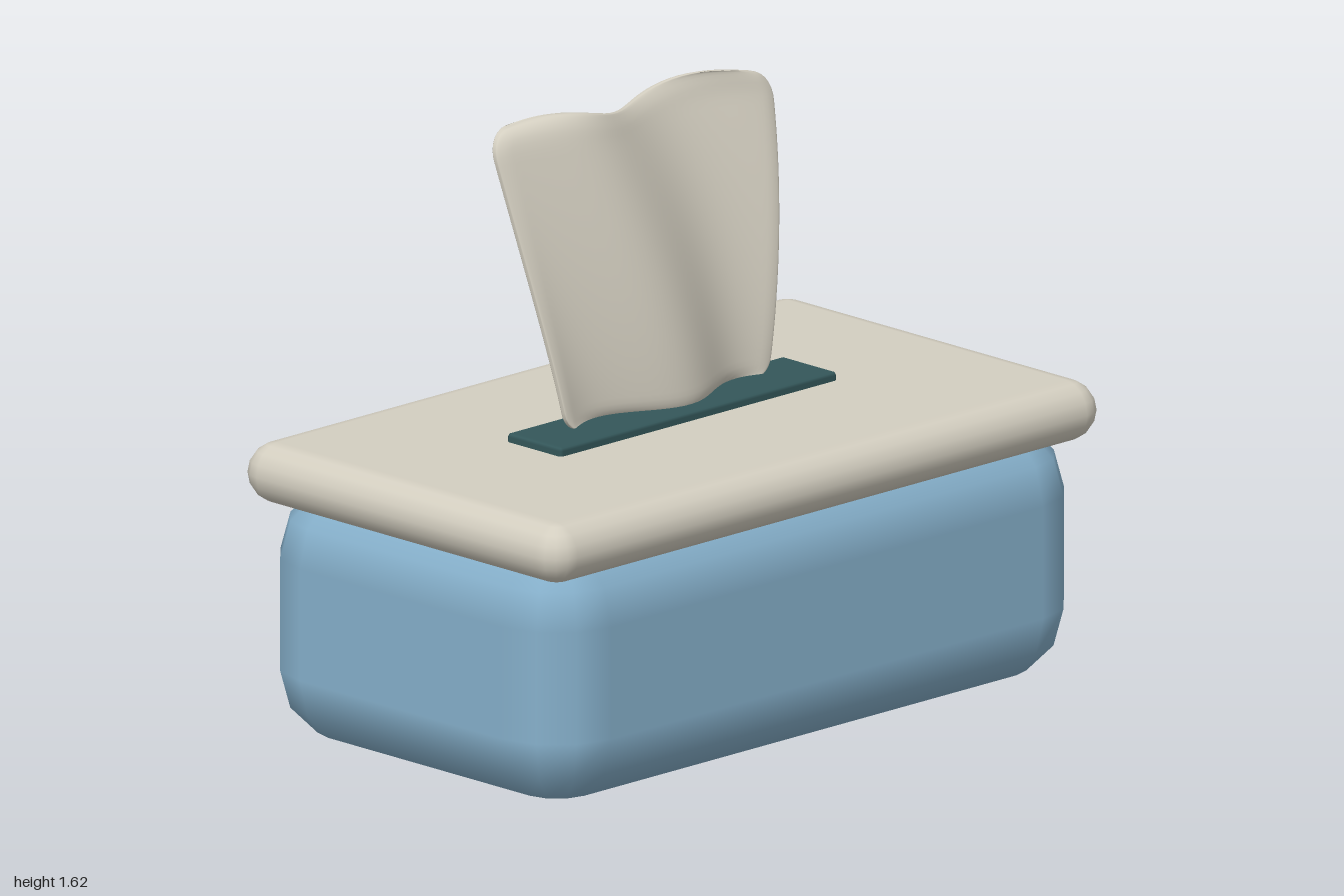
import * as THREE from 'three';
import { mergeVertices } from 'three/addons/utils/BufferGeometryUtils.js';

// Box with edges rounded in n equal angle steps; grid rows run from top centre to bottom centre.
function roundedBox(w, h, d, r, n) {
  const cols = 4 * (n + 1), rows = 2 * n + 3;
  const geo = new THREE.PlaneGeometry(1, 1, cols, rows);
  const pos = geo.attributes.position, nor = geo.attributes.normal;
  for (let iy = 0; iy <= rows; iy++) {
    const cap = iy === 0 || iy === rows;
    const upper = iy <= n + 1;
    const step = Math.min(Math.max(upper ? iy - 1 : iy - 2, 0), 2 * n);
    const phi = (step / n) * Math.PI / 2;
    for (let ix = 0; ix <= cols; ix++) {
      const i = iy * (cols + 1) + ix;
      const q = Math.floor(ix / (n + 1)) % 4;
      const theta = (q + (ix % (n + 1)) / n) * Math.PI / 2;
      const nx = Math.sin(phi) * Math.sin(theta);
      const ny = Math.cos(phi);
      const nz = Math.sin(phi) * Math.cos(theta);
      const sx = q < 2 ? 1 : -1, sz = q === 0 || q === 3 ? 1 : -1, sy = upper ? 1 : -1;
      pos.setXYZ(i,
        cap ? 0 : sx * (w / 2 - r) + nx * r,
        sy * (h / 2 - r) + ny * r,
        cap ? 0 : sz * (d / 2 - r) + nz * r);
      nor.setXYZ(i, nx, ny, nz);
    }
  }
  return geo;
}

// How far a rounded corner of radius r pulls in at distance d from the end.
const cornerInset = (d, r) => (d < r ? r - Math.sqrt(r * r - (r - d) ** 2) : 0);

// Thin rippled sheet that leans backwards and widens towards the top.
function tissueGeometry() {
  let geo = new THREE.BoxGeometry(2, 2, 2, 44, 36, 1);
  geo.deleteAttribute('normal');
  geo.deleteAttribute('uv');
  geo = mergeVertices(geo);
  const pos = geo.attributes.position;
  for (let i = 0; i < pos.count; i++) {
    const u = Math.sin(pos.getX(i) * Math.PI / 2);
    const v = Math.sin(pos.getY(i) * Math.PI / 2);
    const t = (v + 1) / 2;
    const y = 0.815 + t * 0.785 - 0.022 * Math.cos(4.5 * u) * t * t;
    const half = 0.37 + 0.1 * t - cornerInset(t * 0.785, 0.045) - cornerInset((1 - t) * 0.785, 0.08);
    // Ripples drift sideways with height
    const ripple = 0.043 * Math.cos((u - 0.05 + 0.46 * t) * Math.PI * 2 / 1.43);
    const lean = -0.005 - 0.16 * Math.pow(t, 1.6);
    const edge = Math.min((1 - Math.abs(u)) * 0.42, (1 - Math.abs(v)) * 0.39);
    const thick = 0.016 * (0.3 + 0.7 * Math.sqrt(Math.min(1, Math.max(0, edge) / 0.03)));
    pos.setXYZ(i, u * half, y, lean + ripple + pos.getZ(i) * thick);
  }
  geo.computeVertexNormals();
  return geo;
}

export function createModel() {
  const material = (name, color) => {
    const m = new THREE.MeshStandardMaterial({ color });
    m.name = name;
    return m;
  };
  const blue = material('softBlue', 0x86b0cb);
  const cream = material('cream', 0xd3cec0);
  const teal = material('darkTeal', 0x34575a);

  const group = new THREE.Group();
  group.name = 'tissueBox';
  const add = (name, geo, mat, y = 0) => {
    const mesh = new THREE.Mesh(geo, mat);
    mesh.name = name;
    mesh.position.y = y;
    group.add(mesh);
  };

  add('boxBody', roundedBox(1.96, 0.7, 1.14, 0.2, 3), blue, 0.35);
  add('lid', roundedBox(2, 0.16, 1.18, 0.08, 4), cream, 0.72);
  add('slotPlate', roundedBox(1, 0.035, 0.2, 0.01, 2), teal, 0.806);
  add('tissue', tissueGeometry(), cream);
  return group;
}
